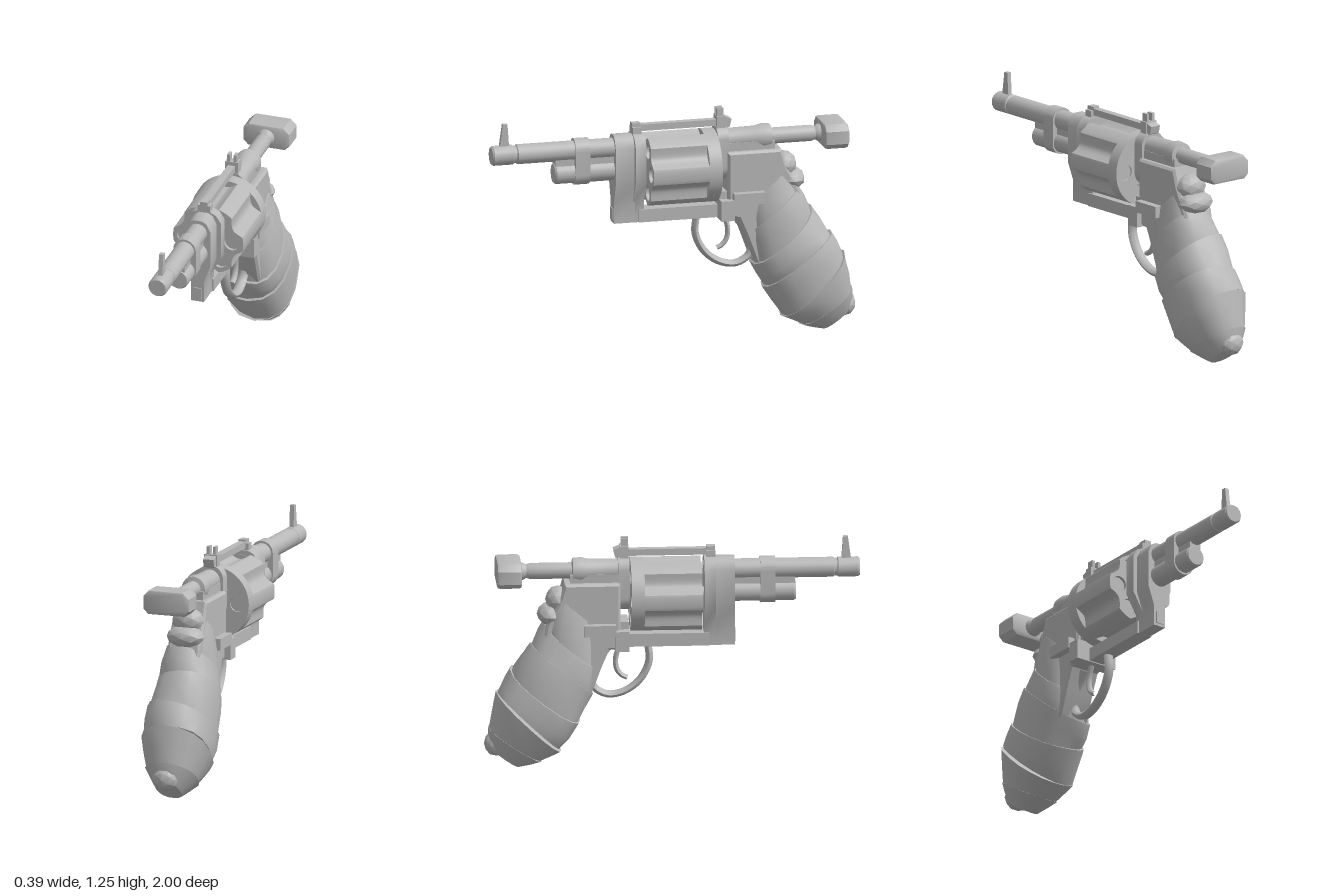
import * as THREE from 'three';
import { toCreasedNormals } from 'three/addons/utils/BufferGeometryUtils.js';

export function createModel() {
  const model = new THREE.Group();
  const grey = new THREE.MeshStandardMaterial({ color: 0xb8b8b8 });
  grey.name = 'plain grey';

  const add = (name, geo, crease = 0.6) => {
    const mesh = new THREE.Mesh(toCreasedNormals(geo, crease), grey);
    mesh.name = name;
    model.add(mesh);
    return mesh;
  };
  const box = (name, x0, x1, y0, y1, z0, z1) => add(name, new THREE.BoxGeometry(x1 - x0, y1 - y0, z1 - z0)
    .translate((x0 + x1) / 2, (y0 + y1) / 2, (z0 + z1) / 2));
  // Round part along z; profile of [radius, z] with z rising
  const turned = (name, y, profile, sides = 24) => add(name, new THREE.LatheGeometry(
    profile.map(p => new THREE.Vector2(...p)), sides).rotateX(Math.PI / 2).translate(0, y, 0));
  const toShape = pts => new THREE.Shape(pts.map(p => new THREE.Vector2(...p)));
  // Outline in (z, y), thickness across x
  const sidePlate = (name, pts, half, bevel = 0) => add(name, new THREE.ExtrudeGeometry(toShape(pts), {
    depth: 2 * (half - bevel), bevelEnabled: bevel > 0, bevelThickness: bevel, bevelSize: bevel,
    bevelOffset: -bevel, bevelSegments: 1,
  }).translate(0, 0, bevel - half).rotateY(-Math.PI / 2));
  // Outline in (x, y), thickness from z0 to z1
  const frontPlate = (name, shape, z0, z1) => add(name, new THREE.ExtrudeGeometry(shape,
    { depth: z1 - z0, bevelEnabled: false, curveSegments: 12 }).translate(0, 0, z0));
  const stadium = (r, y0, y1) => {
    const s = new THREE.Shape();
    s.absarc(0, y1 - r, r, 0, Math.PI);
    s.absarc(0, y0 + r, r, Math.PI, 2 * Math.PI);
    return s;
  };

  // Barrel and the shorter tube beneath it
  turned('barrel', 1.08, [[0, 1], [0, 0.17]].reverse().flatMap(([r, z]) => z < 0.5
    ? [[0, z], [0.053, z], [0.053, 0.86], [0.047, 0.865], [0.047, 0.88], [0.053, 0.885], [0.053, 0.99], [0.046, 1]]
    : [[r, z]]));
  turned('underTube', 0.96, [[0, 0.3], [0.057, 0.3], [0.057, 0.65], [0.05, 0.66], [0, 0.66]]);
  box('barrelWeb', -0.034, 0.034, 0.96, 1.08, 0.3, 0.655);
  frontPlate('barrelBand', stadium(0.063, 0.893, 1.145), 0.47, 0.55);
  sidePlate('frontSight', [[0.955, 1.12], [0.937, 1.25], [0.912, 1.25], [0.903, 1.12]], 0.012);

  // Front of the frame: wide rear plate, narrower front plate, both tapering down
  const yoke = (w, top, foot) => toShape([
    [-0.036, foot], [0.036, foot], [0.036, 0.785], [w, 0.89], [w, top - 0.06], [w * 0.7, top - 0.015],
    [w * 0.35, top], [-w * 0.35, top], [-w * 0.7, top - 0.015], [-w, top - 0.06], [-w, 0.89], [-0.036, 0.785]]);
  frontPlate('frontFramePlate', yoke(0.072, 1.15, 0.67), 0.22, 0.335);
  frontPlate('rearFramePlate', yoke(0.097, 1.155, 0.67), 0.172, 0.232);
  box('framePin', -0.022, 0.022, 0.685, 0.75, 0.3, 0.341);
  box('strapPost', -0.035, 0.035, 1.14, 1.19, 0.185, 0.232);
  box('strapPostTip', -0.02, 0.02, 1.18, 1.21, 0.185, 0.232);
  box('topStrap', -0.02, 0.02, 1.165, 1.2, -0.24, 0.2);
  box('bottomStrap', -0.045, 0.045, 0.67, 0.74, -0.25, 0.2);
  turned('axle', 0.95, [[0, -0.3], [0.035, -0.3], [0.035, 0.2], [0, 0.2]], 16);

  // Six-chamber cylinder: fluted forward section and a full round rear rim
  const R = 0.196;
  const drum = fluted => {
    const pts = [];
    for (let i = 0; i < 144; i++) {
      const a = i / 144 * Math.PI * 2;
      const off = ((a - Math.PI / 6 + Math.PI * 2) % (Math.PI / 3));
      const d = Math.min(off, Math.PI / 3 - off) / 0.31;
      const r = R - (fluted && d < 1 ? 0.036 * (1 - d * d) : 0);
      pts.push([r * Math.cos(a), 0.95 + r * Math.sin(a)]);
    }
    const s = toShape(pts);
    for (let k = 0; k < 6; k++) {
      const a = k * Math.PI / 3;
      s.holes.push(new THREE.Path().absarc(0.132 * Math.cos(a), 0.95 + 0.132 * Math.sin(a), 0.042, 0, Math.PI * 2, true));
    }
    return s;
  };
  frontPlate('flutedCylinder', drum(true), -0.15, 0.158);
  frontPlate('cylinderRim', drum(false), -0.22, -0.15);
  for (let k = 0; k < 6; k++) {
    const a = k * Math.PI / 3;
    add('chamberPlug', new THREE.CylinderGeometry(0.043, 0.043, 0.35, 16).rotateX(Math.PI / 2)
      .translate(0.132 * Math.cos(a), 0.95 + 0.132 * Math.sin(a), -0.035));
  }

  // Rear shield and notched sight
  frontPlate('recoilShield', stadium(0.075, 0.87, 1.165), -0.285, -0.225);
  box('rearSightBase', -0.036, 0.036, 1.14, 1.22, -0.275, -0.228);
  sidePlate('rearSightRamp', [[-0.26, 1.22], [-0.31, 1.2], [-0.3, 1.16], [-0.26, 1.14]], 0.03);
  for (const s of [-1, 1]) {
    box('rearSightProng', s * 0.018 - 0.008, s * 0.018 + 0.008, 1.2, 1.262, -0.268, -0.23);
    // Side lugs above the trigger
    box('sideLug', s * 0.11 - 0.022, s * 0.11 + 0.022, 0.75, 0.812, -0.47, -0.3);
    box('lugBlock', s * 0.085 - 0.04, s * 0.085 + 0.04, 0.665, 0.775, -0.305, -0.23);
  }
  box('hingeBlock', -0.07, 0.07, 0.665, 0.815, -0.31, -0.23);

  // Frame body running down into the grip
  sidePlate('frameBody', [[-0.275, 1.03], [-0.275, 0.67], [-0.335, 0.665], [-0.375, 0.57], [-0.43, 0.42],
    [-0.5, 0.33], [-0.7, 0.6], [-0.67, 0.8], [-0.6, 0.93], [-0.57, 1.03]], 0.092, 0.012);

  // Rear rod, collar and wide knob
  turned('rearRod', 1.085, [[0, -0.82], [0.047, -0.82], [0.047, -0.79], [0.036, -0.77], [0.043, -0.75], [0.043, -0.53],
    [0.066, -0.525], [0.07, -0.48], [0.06, -0.44], [0.057, -0.27], [0, -0.27]]);
  box('rodSaddle', -0.06, 0.06, 1.0, 1.075, -0.54, -0.28);
  const knob = [[-0.125, 1.05], [-0.1, 1.025], [0.1, 1.025], [0.125, 1.05], [0.125, 1.115],
    [0.095, 1.145], [-0.095, 1.145], [-0.125, 1.115]];
  add('rearKnob', new THREE.ExtrudeGeometry(toShape(knob), {
    depth: 0.1, bevelEnabled: true, bevelThickness: 0.016, bevelSize: 0.012, bevelOffset: -0.006, bevelSegments: 2,
  }).translate(0, 0, -0.915));

  // Trigger guard and trigger
  const tube = (name, pts, r, widen) => add(name, new THREE.TubeGeometry(new THREE.CatmullRomCurve3(
    pts.map(([z, y]) => new THREE.Vector3(0, y, z))), 36, r, 8).scale(widen, 1, 1), 0.9);
  tube('triggerGuard', [[-0.125, 0.68], [-0.118, 0.58], [-0.165, 0.48], [-0.25, 0.415], [-0.34, 0.4],
    [-0.41, 0.44], [-0.425, 0.5], [-0.39, 0.58], [-0.335, 0.66]], 0.02, 1.4);
  tube('trigger', [[-0.27, 0.68], [-0.295, 0.6], [-0.29, 0.54], [-0.265, 0.505], [-0.235, 0.49]], 0.014, 1.2);

  // Cloth-wrapped grip: front [z, y], back [z, y] and half width at each wrap edge
  const sections = [
    [-0.4, 0.77, -0.62, 0.95, 0.1], [-0.4, 0.57, -0.675, 0.805, 0.135], [-0.42, 0.41, -0.745, 0.685, 0.162],
    [-0.49, 0.265, -0.85, 0.54, 0.178], [-0.59, 0.1, -0.925, 0.42, 0.182],
    [-0.69, 0.045, -0.97, 0.23, 0.135], [-0.81, 0.008, -0.97, 0.125, 0.07]];
  let seed = 7;
  const rnd = () => (seed = (seed * 16807) % 2147483647) / 2147483647 - 0.5;
  const N = 16;
  const ring = ([fz, fy, bz, by, w], scale, tilt, rough) => Array.from({ length: N }, (_, j) => {
    const a = j / N * Math.PI * 2, k = scale + rnd() * rough;
    const pow = v => Math.sign(v) * Math.abs(v) ** 0.85;
    const c = pow(Math.cos(a)) * k, s = pow(Math.sin(a)) * k;
    return [c * w, (fy + by) / 2 + s * (fy - by) / 2 + tilt * c, (fz + bz) / 2 + s * (fz - bz) / 2];
  });
  const loft = rings => {
    const pos = rings.flat(2), idx = [], last = rings.length - 1;
    for (const r of [rings[0], rings[last]]) {
      for (let k = 0; k < 3; k++) pos.push(r.reduce((t, p) => t + p[k], 0) / N);
    }
    for (let j = 0; j < N; j++) {
      const n = (j + 1) % N;
      for (let i = 0; i < last; i++) {
        const a = i * N + j, b = i * N + n;
        idx.push(a, b, a + N, b, b + N, a + N);
      }
      idx.push((last + 1) * N, n, j, (last + 1) * N + 1, last * N + j, last * N + n);
    }
    const g = new THREE.BufferGeometry();
    g.setAttribute('position', new THREE.Float32BufferAttribute(pos, 3));
    g.setIndex(idx);
    return g;
  };
  for (let i = 0; i < sections.length - 1; i++) {
    const tilt = i < 4 ? (i % 2 ? 0.02 : -0.02) : 0;
    const mid = sections[i].map((v, k) => (v + sections[i + 1][k]) / 2);
    add('gripWrap', loft([ring(sections[i], 1.03, tilt, 0.03), ring(mid, 1.03, tilt, 0.03),
      ring(sections[i + 1], 0.985, -tilt, 0.02)]), 0.7);
  }

  // Knotted cloth behind the frame and at the butt
  const lump = (name, y, z, sx, sy, sz) => add(name, new THREE.IcosahedronGeometry(1, 1)
    .scale(sx, sy, sz).translate(0, y, z), 0.5);
  lump('upperKnot', 0.93, -0.6, 0.09, 0.07, 0.07);
  lump('lowerKnot', 0.85, -0.64, 0.105, 0.06, 0.075);
  lump('buttKnot', 0.14, -0.93, 0.075, 0.07, 0.065);
  return model;
}
